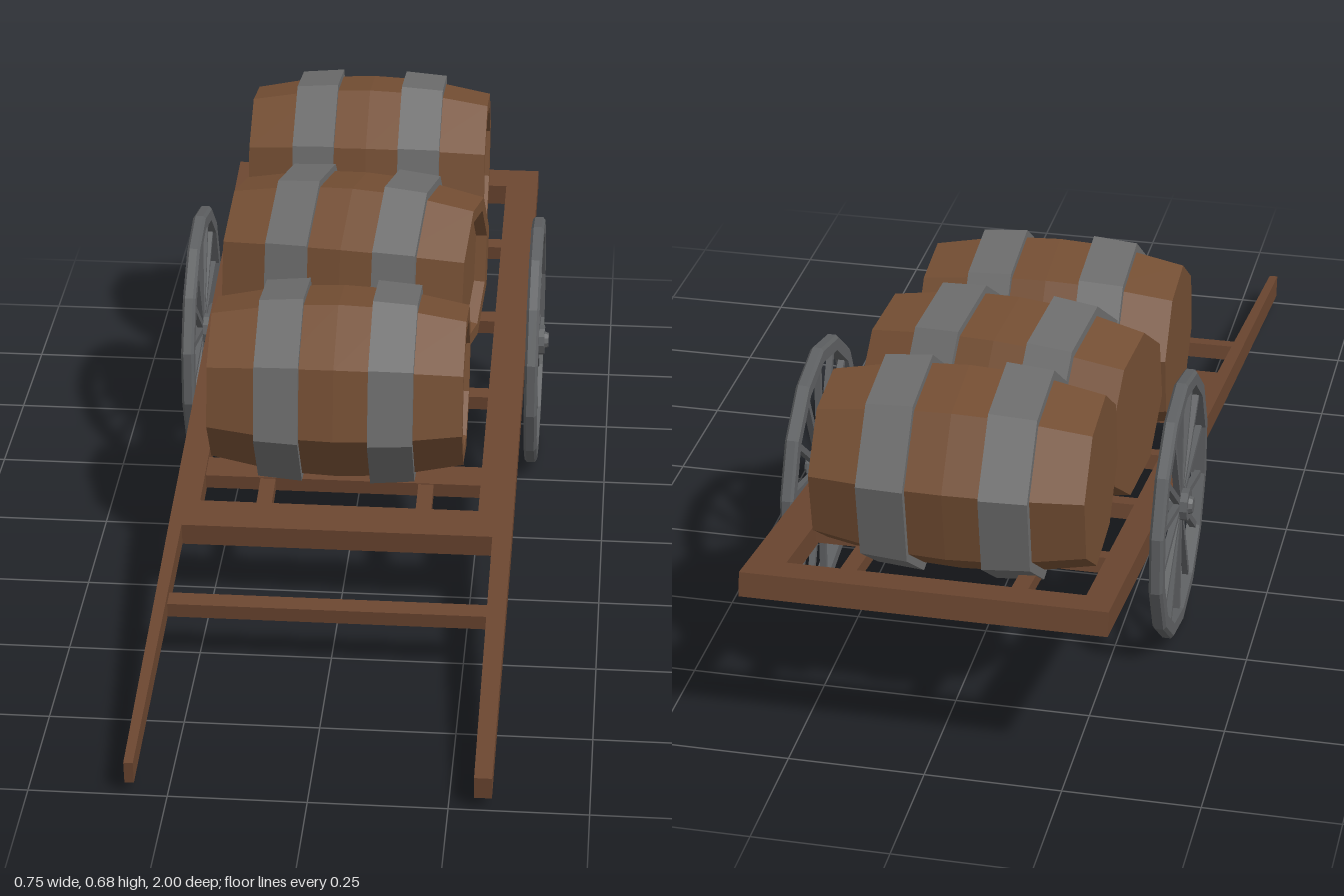
import * as THREE from 'three';

const mat = (name, color) => {
  const m = new THREE.MeshStandardMaterial({ color });
  m.name = name;
  m.flatShading = true;
  return m;
};

export function createModel() {
  const frameWood = mat('frame wood', 0x6b4630);
  const barrelWood = mat('barrel wood', 0x744e33);
  const hoopIron = mat('hoop iron', 0x6c6c6c);
  const wheelIron = mat('wheel iron', 0x5e6062);

  const model = new THREE.Group();
  model.name = 'barrelCart';

  const add = (parent, name, geometry, material, x = 0, y = 0, z = 0) => {
    const mesh = new THREE.Mesh(geometry, material);
    mesh.name = name;
    mesh.position.set(x, y, z);
    parent.add(mesh);
    return mesh;
  };
  // Turned solid around the x axis; points are [radius, x]
  const turned = (points, sides, start) =>
    new THREE.LatheGeometry(points.map(p => new THREE.Vector2(...p)), sides, start).rotateZ(-Math.PI / 2);

  // Sloping frame, built level and then tilted
  const frame = new THREE.Group();
  frame.name = 'frame';
  frame.position.y = 0.197;
  frame.rotation.x = 0.153;
  model.add(frame);
  const thick = 0.046;

  // Side rails that narrow into the pulling shafts; outline points are [x, z]
  const rail = (name, outline) => {
    const shape = new THREE.Shape(outline.map(p => new THREE.Vector2(...p)));
    const geometry = new THREE.ExtrudeGeometry(shape, { depth: thick, bevelEnabled: false });
    add(frame, name, geometry.rotateX(Math.PI / 2).translate(0, thick / 2, 0), frameWood);
  };
  rail('rightRail', [[-0.33, -1.008], [-0.278, -1.008], [-0.278, 0.31], [-0.305, 0.31],
    [-0.31, 1.008], [-0.327, 1.008], [-0.33, 0.31]]);
  rail('leftRail', [[0.262, -1.008], [0.33, -1.008], [0.33, 0.31], [0.327, 1.008],
    [0.295, 1.008], [0.293, 0.31], [0.262, 0.31]]);

  // Cross bars: z, depth, height
  [['backBar', -0.975, 0.066, 0.046], ['frontBar', 0.273, 0.08, 0.046], ['shaftBar', 0.529, 0.035, 0.03],
    ['crossSlat', -0.725, 0.032, 0.03], ['crossSlat', -0.446, 0.036, 0.03],
    ['crossSlat', -0.172, 0.032, 0.03], ['crossSlat', 0.111, 0.06, 0.03]
  ].forEach(([name, z, depth, height]) => {
    add(frame, name, new THREE.BoxGeometry(0.6, height, depth), frameWood, -0.005, 0, z);
  });
  // Lengthwise slats under the load
  for (const x of [-0.155, 0.155])
    add(frame, 'longSlat', new THREE.BoxGeometry(0.03, 0.026, 1.22), frameWood, x, 0, -0.345);

  // Spoked wheels
  const sides = 14;
  for (const side of [1, -1]) {
    const wheel = new THREE.Group();
    wheel.name = side > 0 ? 'leftWheel' : 'rightWheel';
    wheel.position.set(side * 0.347, 0.255, -0.387);
    wheel.rotation.y = side > 0 ? 0 : Math.PI;
    wheel.scale.z = 0.975;
    model.add(wheel);
    const rim = [[0.226, -0.013], [0.249, -0.013], [0.255, -0.008], [0.255, 0.008],
      [0.249, 0.013], [0.226, 0.013], [0.226, -0.013]];
    const rimGeometry = new THREE.LatheGeometry(rim.map(p => new THREE.Vector2(...p)), sides, Math.PI / 2);
    add(wheel, 'rim', rimGeometry.rotateZ(-Math.PI / 2), wheelIron);
    add(wheel, 'hub', turned([[0, -0.017], [0.031, -0.017], [0.031, 0.02], [0.018, 0.02],
      [0.015, 0.028], [0, 0.028]], 10, 0), wheelIron);
    for (let i = 0; i < sides; i++) {
      const spoke = add(wheel, 'spoke', new THREE.BoxGeometry(0.012, 0.21, 0.012).translate(0, 0.13, 0), wheelIron);
      spoke.rotation.x = (i / sides) * Math.PI * 2;
    }
  }

  // Eight-sided barrels with one recessed lid and two iron hoops
  const start = THREE.MathUtils.degToRad(-77);
  const body = turned([[0, -0.247], [0.157, -0.247], [0.183, -0.11], [0.188, 0], [0.183, 0.11],
    [0.157, 0.247], [0.13, 0.247], [0.126, 0.225], [0, 0.225]], 8, start);
  const hoopProfile = [[0.165, -0.043], [0.2, -0.043], [0.193, 0.043], [0.165, 0.043]];
  const hoop = turned(hoopProfile, 8, start);
  const mirroredHoop = turned(hoopProfile.map(([r, x]) => [r, -x]).reverse(), 8, start);
  [[0.365, 0.053, 0], [0.433, -0.35, -0.13], [0.488, -0.742, 0]].forEach(([y, z, yaw]) => {
    const barrel = new THREE.Group();
    barrel.name = 'barrel';
    barrel.position.set(-0.02, y, z);
    barrel.rotation.y = yaw;
    model.add(barrel);
    add(barrel, 'barrelBody', body, barrelWood);
    add(barrel, 'hoop', hoop, hoopIron, 0.11);
    add(barrel, 'hoop', mirroredHoop, hoopIron, -0.11);
  });

  return model;
}
